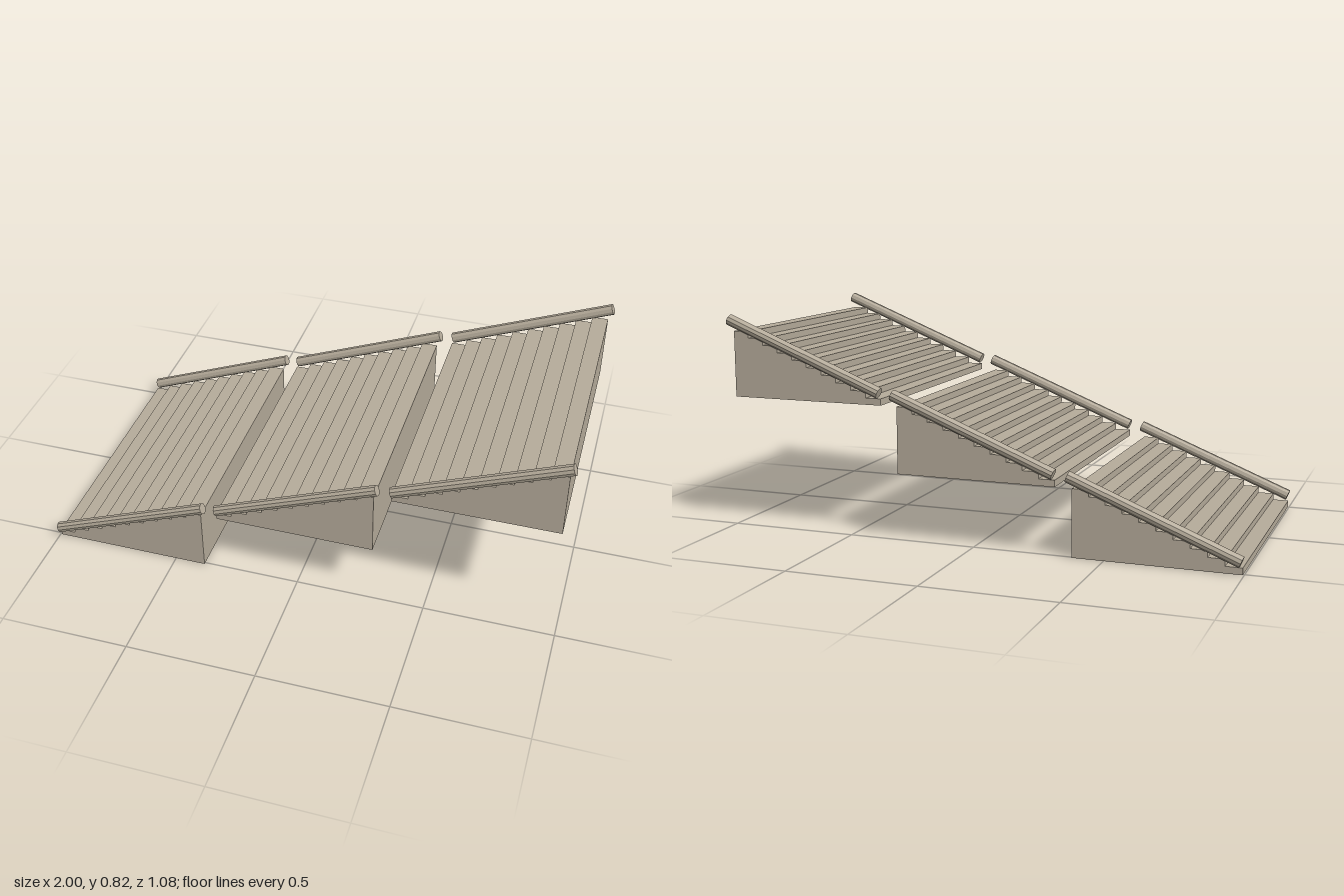
import * as THREE from 'three';

const STEPS = 10, RUN = 0.615, RISE = 0.254, HALF_WIDTH = 0.508;
const PITCH = 0.679; // x distance between flights

const stone = new THREE.MeshStandardMaterial({ color: 0xb4aa99, flatShading: true });
stone.name = 'warm grey stone';

// Solid flight: stepped outline extruded across the width
function flightGeometry() {
  const s = new THREE.Shape();
  s.moveTo(0, 0);
  s.lineTo(RUN, 0);
  s.lineTo(RUN, RISE);
  for (let i = STEPS - 1; i >= 0; i--) {
    const x = (RUN * i) / STEPS;
    s.lineTo(x, (RISE * (i + 1)) / STEPS);
    if (i > 0) s.lineTo(x, (RISE * i) / STEPS);
  }
  s.closePath();
  const g = new THREE.ExtrudeGeometry(s, { depth: 2 * HALF_WIDTH, bevelEnabled: false });
  return g.translate(0, 0, -HALF_WIDTH);
}

// Round bar between two points in the xy plane
function railGeometry(x0, y0, x1, y1) {
  const dx = x1 - x0, dy = y1 - y0;
  const g = new THREE.CylinderGeometry(0.0215, 0.0215, Math.hypot(dx, dy), 10);
  g.rotateZ(Math.atan2(dy, dx) - Math.PI / 2);
  return g.translate((x0 + x1) / 2, (y0 + y1) / 2, 0);
}

export function createModel() {
  const model = new THREE.Group();
  model.name = 'staircase';
  const stepsGeo = flightGeometry();
  const railGeo = railGeometry(0.003, 0.047, 0.629, 0.298);

  for (let f = 0; f < 3; f++) {
    const flight = new THREE.Group();
    flight.name = 'flight' + (f + 1);
    flight.position.set(-0.995 + f * PITCH, f * RISE, 0);

    const steps = new THREE.Mesh(stepsGeo, stone);
    steps.name = 'steps';
    flight.add(steps);

    // Side rails
    for (const side of [1, -1]) {
      const rail = new THREE.Mesh(railGeo, stone);
      rail.name = side > 0 ? 'frontRail' : 'backRail';
      rail.position.z = side * 0.516;
      flight.add(rail);
    }
    model.add(flight);
  }
  return model;
}
